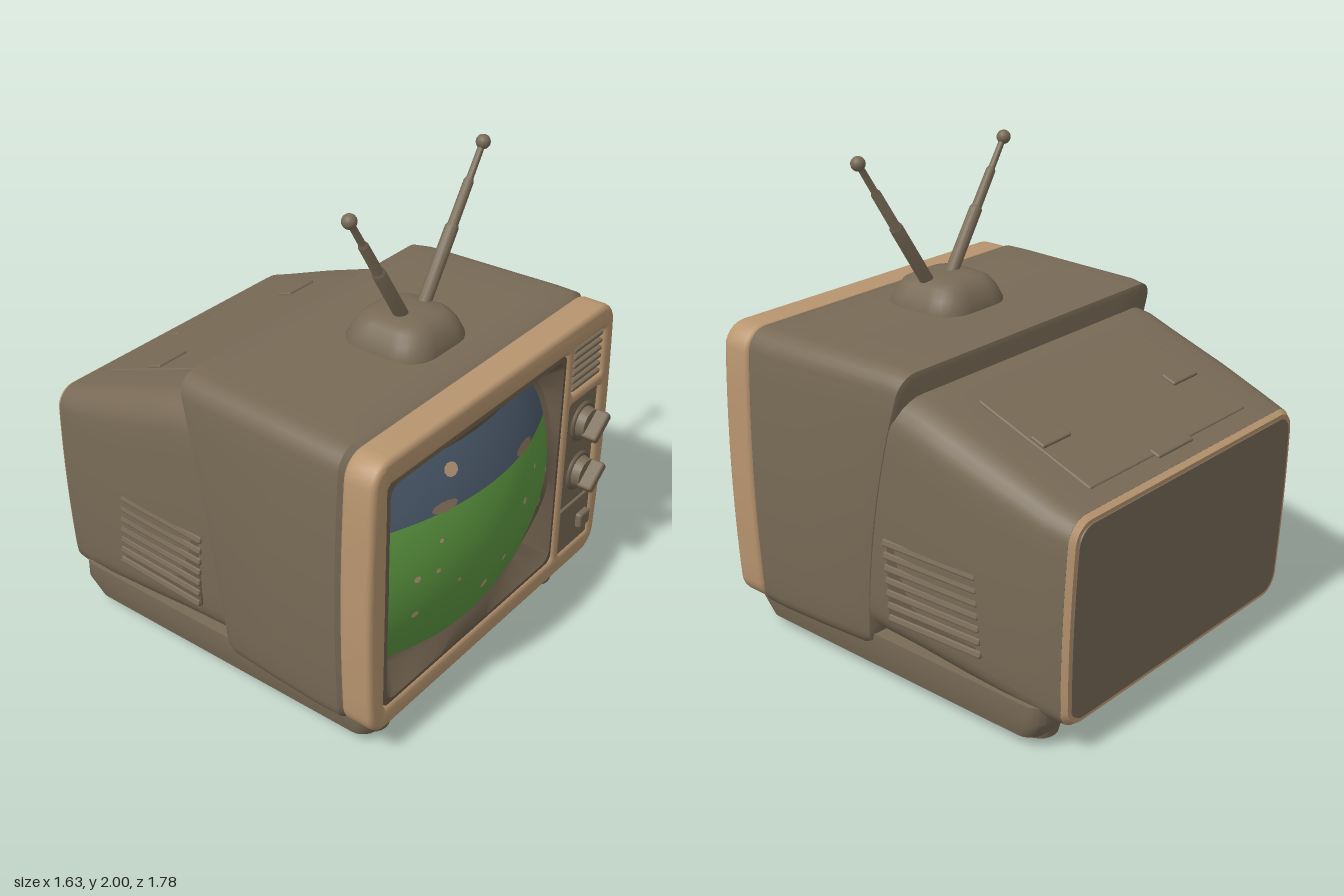
import * as THREE from 'three';
import { toCreasedNormals } from 'three/addons/utils/BufferGeometryUtils.js';
import { RoundedBoxGeometry } from 'three/addons/geometries/RoundedBoxGeometry.js';

const material = (name, color, side = THREE.FrontSide) => {
  const m = new THREE.MeshStandardMaterial({ color, side });
  m.name = name;
  return m;
};

// Rounded rectangle, counter-clockwise, whose sides may bulge outwards
function outline(x0, x1, y0, y1, r, bulge = 0) {
  const corners = [[x1 - r, y0 + r], [x1 - r, y1 - r], [x0 + r, y1 - r], [x0 + r, y0 + r]];
  const raw = [];
  corners.forEach(([cx, cy], k) => {
    for (let i = 0; i <= 6; i++) {
      const a = (k - 1 + i / 6) * Math.PI / 2;
      raw.push(new THREE.Vector2(cx + r * Math.cos(a), cy + r * Math.sin(a)));
    }
    const a = k * Math.PI / 2, [nx, ny] = corners[(k + 1) % 4];
    const from = raw[raw.length - 1].clone();
    const to = new THREE.Vector2(nx + r * Math.cos(a), ny + r * Math.sin(a));
    for (let i = 1; i < 10; i++) raw.push(from.clone().lerp(to, i / 10));
  });
  const cx = (x0 + x1) / 2, cy = (y0 + y1) / 2, h = (y1 - y0) / 2;
  return raw.map(p => new THREE.Vector2(cx + (p.x - cx) * (1 + bulge * (1 - ((p.y - cy) / h) ** 2)), p.y));
}

// Lift an outline into 3D; z is a number or a rule of x and y
const ring = (pts, z) => pts.map(p => new THREE.Vector3(p.x, p.y, typeof z === 'function' ? z(p.x, p.y) : z));

// Skin between rings, listed from back to front, with optional end caps
function loft(rings, capBack = true, capFront = true, crease = 0.6) {
  const pos = [], n = rings[0].length;
  const tri = (...v) => v.forEach(p => pos.push(p.x, p.y, p.z));
  for (let i = 0; i < rings.length - 1; i++) {
    for (let j = 0; j < n; j++) {
      const k = (j + 1) % n, a = rings[i], b = rings[i + 1];
      tri(a[j], a[k], b[k]);
      tri(a[j], b[k], b[j]);
    }
  }
  const cap = (r, flip) => {
    const c = r.reduce((s, p) => s.add(p), new THREE.Vector3()).divideScalar(n);
    for (let j = 0; j < n; j++) flip ? tri(c, r[(j + 1) % n], r[j]) : tri(c, r[j], r[(j + 1) % n]);
  };
  if (capBack) cap(rings[0], true);
  if (capFront) cap(rings[rings.length - 1], false);
  const g = new THREE.BufferGeometry();
  g.setAttribute('position', new THREE.Float32BufferAttribute(pos, 3));
  return toCreasedNormals(g, crease);
}

// Bulging screen glass: half sizes, centre, depth and width rules
const SX = -0.135, SY = 0.735, SA = 0.525, SB = 0.425;
const glassZ = (x, y) => 0.89 - 0.115 * (((x - SX) / SA) ** 2 + ((y - SY) / SB) ** 2);
const glassHalfWidth = y => SA * Math.max(0, 1 - Math.abs((y - SY) / SB) ** 6) ** (1 / 6);

function glassBand(y0, y1) {
  const g = new THREE.PlaneGeometry(1, 1, 40, 40), p = g.attributes.position;
  for (let i = 0; i < p.count; i++) {
    const t = p.getY(i) + 0.5;
    const y = y0 + (y1 - y0) * Math.sin(t * Math.PI / 2 * 0.999) ** (y1 > 1 ? 1 : 0.999);
    const x = SX + 2 * p.getX(i) * glassHalfWidth(y);
    p.setXYZ(i, x, y, glassZ(x, y));
  }
  g.computeVertexNormals();
  return g;
}

// Small flat patch that follows the glass
function patch(cx, cy, rx, ry, sides = 8) {
  const g = new THREE.CircleGeometry(1, sides), p = g.attributes.position;
  for (let i = 0; i < p.count; i++) {
    const x = cx + p.getX(i) * rx, y = cy + p.getY(i) * ry;
    p.setXYZ(i, x, y, glassZ(x, y) + 0.005);
  }
  g.computeVertexNormals();
  return g;
}

export function createModel() {
  const model = new THREE.Group();
  const brown = material('cabinet brown', 0x786a56);
  const dark = material('recess brown', 0x695b49);
  const tan = material('trim tan', 0xb99670);
  const green = material('grass green', 0x5c9640);
  const blue = material('sky blue', 0x4a5869);
  const cream = material('spot tan', 0xb89a78);
  const hill = material('hill brown', 0x86705a);

  const add = (name, geometry, mat, x = 0, y = 0, z = 0) => {
    const mesh = new THREE.Mesh(geometry, mat);
    mesh.name = name;
    mesh.position.set(x, y, z);
    model.add(mesh);
    return mesh;
  };
  const box = (name, w, h, d, mat, x, y, z, r = 0.008) =>
    add(name, new RoundedBoxGeometry(w, h, d, 2, r), mat, x, y, z);

  // Front shell, its rear edge leaning back towards the top
  const lean = (x, y) => { const t = (y - 0.13) / 1.2; return 0.07 - 0.075 * t - 0.135 * t * t; };
  const shell = (hw, inset, z) => ring(outline(-hw, hw, 0.125 + inset, 1.33 - inset, 0.08, 0.03), z);
  add('frontShell', loft([
    shell(0.735, 0.03, lean),
    shell(0.752, 0.008, (x, y) => lean(x, y) + 0.012),
    shell(0.762, 0, (x, y) => lean(x, y) * 0.8 + 0.06),
    shell(0.78, 0, 0.35), shell(0.79, 0, 0.55), shell(0.787, 0, 0.65), shell(0.765, 0.02, 0.68),
  ]), brown);

  // Rear housing, tapering to the back
  const backZ = d => (x, y) => -0.85 + d - 0.03 * (y - 0.12) / 0.85;
  const rear = (hw, y0, y1, r, z) => ring(outline(-hw, hw, y0, y1, r, 0.02), z);
  add('rearHousing', loft([
    rear(0.697, 0.122, 0.972, 0.085, backZ(0.02)),
    rear(0.72, 0.13, 1.005, 0.1, -0.76),
    rear(0.74, 0.15, 1.085, 0.12, -0.55),
    rear(0.752, 0.175, 1.17, 0.13, -0.3),
    rear(0.757, 0.19, 1.215, 0.13, -0.17),
    rear(0.755, 0.2, 1.26, 0.13, 0.1),
  ]), brown);
  const backRing = (inset, d) => rear(0.697 - inset, 0.122 + inset, 0.972 - inset, 0.085 - inset * 0.5, backZ(d));
  add('backTrim', loft([backRing(0.035, 0), backRing(0.015, -0.002), backRing(0, 0.021)]), tan);
  add('backPanel', loft([backRing(0.032, -0.006), backRing(0.03, 0.005)]), brown);

  // Raised panel and small latches on the sloping rear top
  const slope = Math.atan(0.368);
  const onSlope = (name, w, d, x, z, lift) => {
    const m = box(name, w, 0.02, d, brown, x, 1.218 + 0.368 * (z + 0.17) + lift, z);
    m.rotation.x = -slope;
  };
  onSlope('rearTopPanel', 0.98, 0.56, 0, -0.52, 0.0);
  for (const s of [-1, 1]) onSlope('rearTopLatch', 0.16, 0.07, s * 0.4, -0.53, 0.012);
  onSlope('rearTopCatch', 0.22, 0.05, 0, -0.78, 0.005);

  // Louvres on both sides
  for (const s of [-1, 1]) {
    box('ventBed', 0.02, 0.33, 0.44, dark, s * 0.753, 0.49, -0.265).rotation.y = s * 0.045;
    for (let i = 0; i < 7; i++) {
      const m = box('ventSlat', 0.03, 0.03, 0.45, brown, s * 0.757, 0.335 + i * 0.052, -0.265 + (i - 3) * 0.004);
      m.rotation.set(0, s * 0.045, s * 0.35);
    }
  }

  // Plinth and feet
  const plinth = (hw, zb, zf, y) => ring(outline(-hw, hw, -zf, -zb, 0.07), y);
  add('plinth', loft([
    plinth(0.69, -0.66, 0.70, 0.03), plinth(0.72, -0.72, 0.73, 0.045),
    plinth(0.74, -0.77, 0.765, 0.125), plinth(0.74, -0.77, 0.765, 0.2),
  ]).rotateX(-Math.PI / 2), brown);
  for (const s of [-1, 1]) for (const z of [0.65, -0.64])
    add('foot', new THREE.CylinderGeometry(0.085, 0.07, 0.06, 20), brown, s * 0.58, 0.03, z);

  // Front frame with openings for the screen, grille and controls
  const B = 0.025;
  const frame = new THREE.Shape(outline(-0.79 + B, 0.79 - B, 0.13 + B, 1.325 - B, 0.07, 0.028));
  const openings = [[-0.715, 0.455, 0.22, 1.225], [0.49, 0.735, 1.0, 1.225], [0.49, 0.735, 0.22, 0.965]];
  for (const [x0, x1, y0, y1] of openings)
    frame.holes.push(new THREE.Path(outline(x0 - B / 2, x1 + B / 2, y0 - B / 2, y1 + B / 2, 0.035).reverse()));
  add('frontFrame', toCreasedNormals(new THREE.ExtrudeGeometry(frame, {
    depth: 0.09, bevelThickness: 0.025, bevelSize: B, bevelSegments: 4,
  }), 0.6), tan, 0, 0, 0.69);

  // Recessed surround sloping in to the glass
  const mouth = (i) => outline(-0.725 + i, 0.465 - i, 0.21 + i, 1.235 - i, 0.05);
  const rim = k => mouth(0).map(p => {
    const dx = p.x - SX, dy = p.y - SY;
    const f = k / ((Math.abs(dx / SA) ** 6 + Math.abs(dy / SB) ** 6) ** (1 / 6));
    return new THREE.Vector2(SX + dx * f, SY + dy * f);
  });
  add('screenSurround', loft([
    ring(mouth(0), 0.74), ring(mouth(0.012), 0.795), ring(mouth(0.035), 0.798),
    ring(rim(1.04), (x, y) => Math.min(0.785, glassZ(x, y) + 0.02)),
    ring(rim(0.985), (x, y) => glassZ(x, y) - 0.004),
  ], false, false), dark);

  // Screen picture: sky, grass, hills, sun and flowers
  add('screenGrass', glassBand(SY - SB + 0.0005, 0.96), green);
  add('screenSky', glassBand(0.96, SY + SB - 0.0005), blue);
  add('screenSun', patch(-0.33, 1.09, 0.033, 0.026, 10), cream);
  for (const [x, w] of [[-0.4, 0.062], [0.11, 0.07]]) add('screenHill', patch(x, 0.979, w, 0.019, 10), hill);
  const flowers = [[-0.55, 0.74], [-0.46, 0.74], [-0.44, 0.86], [-0.35, 0.645], [-0.54, 0.57], [-0.17, 0.515],
    [-0.06, 0.58], [0.07, 0.77], [0.18, 0.86], [0.29, 0.62], [0.345, 0.74]];
  flowers.forEach(([x, y], i) => {
    const r = [0.014, 0.01, 0.009, 0.009, 0.015, 0.02, 0.014, 0.015, 0.009, 0.017, 0.013][i];
    add('screenFlower', patch(x, y, r, r), cream);
  });

  // Speaker grille
  box('grilleBed', 0.27, 0.25, 0.07, dark, 0.6125, 1.1125, 0.73);
  for (let i = 0; i < 6; i++)
    box('grilleSlat', 0.215, 0.02, 0.04, brown, 0.6125, 1.025 + i * 0.035, 0.78);

  // Control panel with two dials and a button
  box('controlPanel', 0.27, 0.77, 0.1, brown, 0.6125, 0.5925, 0.74);
  box('lowerControlPlate', 0.235, 0.22, 0.02, brown, 0.6125, 0.335, 0.79);
  for (const y of [0.83, 0.59]) {
    add('dialRing', new THREE.TorusGeometry(0.075, 0.012, 8, 28), dark, 0.62, y, 0.792);
    const dial = add('dial', new THREE.CylinderGeometry(0.062, 0.072, 0.05, 28), brown, 0.62, y, 0.812);
    dial.rotation.x = Math.PI / 2;
    box('dialGrip', 0.135, 0.042, 0.07, brown, 0.62, y, 0.858, 0.012).rotation.z = 0.65;
  }
  box('powerButton', 0.08, 0.07, 0.04, brown, 0.67, 0.33, 0.805, 0.012);

  // Antenna mount: a squarish dome
  const dome = (h, y) => ring(outline(0.015 - h, 0.015 + h, -0.335 - h, -0.335 + h, h * 0.6), y);
  add('antennaMount', loft([
    dome(0.197, 1.31), dome(0.195, 1.34), dome(0.175, 1.385), dome(0.15, 1.42), dome(0.12, 1.438), dome(0.07, 1.447),
  ], true, true, 1).rotateX(-Math.PI / 2), brown);

  // Telescopic antennas with ball tips
  for (const [x0, x1, y1] of [[-0.015, -0.347, 1.932], [0.11, 0.472, 1.97]]) {
    const from = new THREE.Vector3(x0, 1.42, 0.345), to = new THREE.Vector3(x1, y1, 0.345);
    const len = from.distanceTo(to);
    const profile = [[0, 0], [0.028, 0], [0.027, 0.48], [0.021, 0.5], [0.02, 0.76], [0.014, 0.78], [0.013, 1], [0, 1]];
    const rod = add('antennaRod', toCreasedNormals(new THREE.LatheGeometry(
      profile.map(([r, t]) => new THREE.Vector2(r, t * len)), 14), 0.6), brown, ...from.toArray());
    rod.quaternion.setFromUnitVectors(new THREE.Vector3(0, 1, 0), to.clone().sub(from).normalize());
    add('antennaTip', new THREE.SphereGeometry(0.029, 16, 12), brown, ...to.toArray());
  }
  return model;
}
